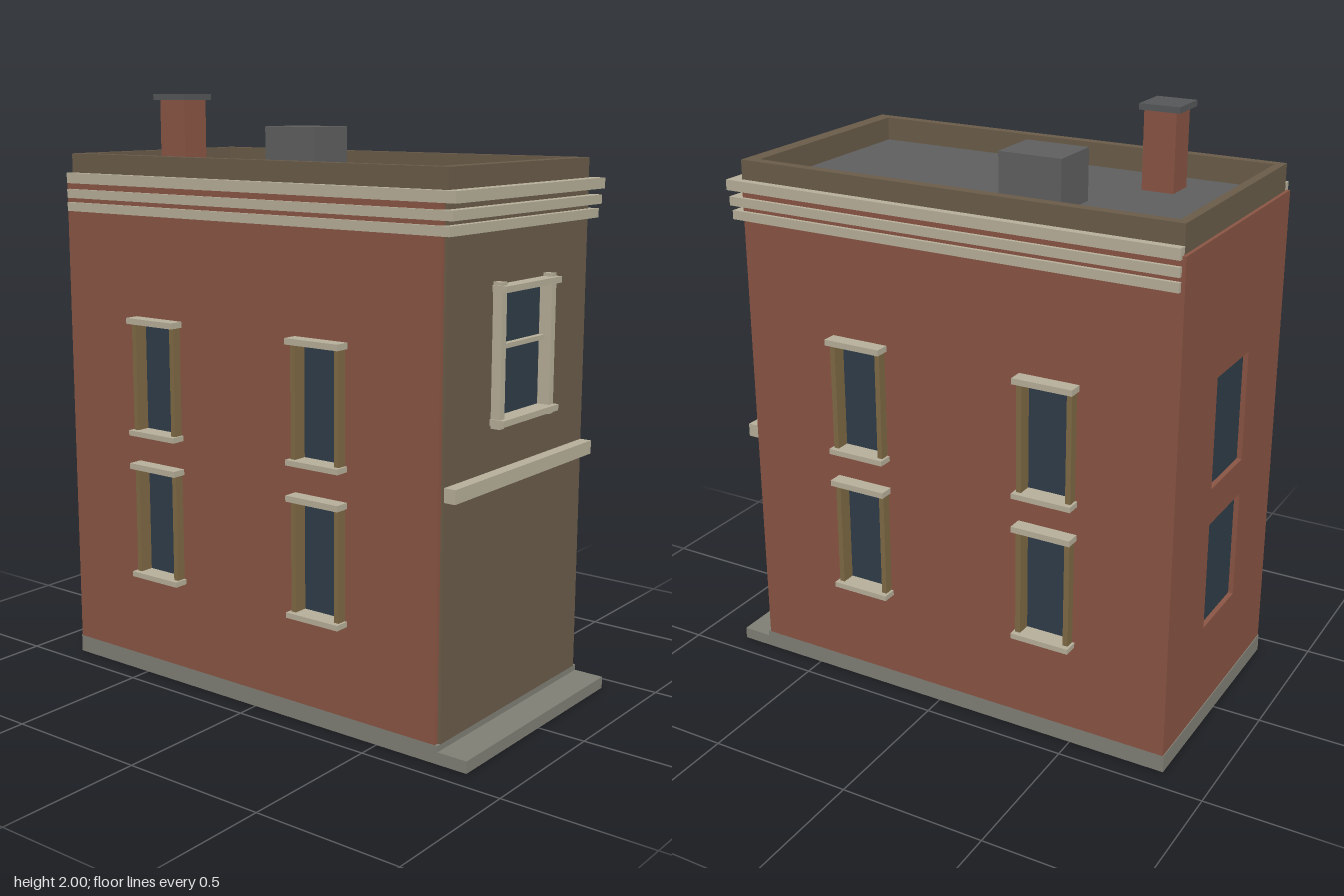
import * as THREE from 'three';

const mat = (name, color) => Object.assign(new THREE.MeshStandardMaterial({ color }), { name });

export function createModel() {
  const brick = mat('brick', 0x885443);
  const brown = mat('brown facade', 0x695b48);
  const stone = mat('pale stone', 0xb5ad98);
  const tan = mat('tan frame', 0x7d6843);
  const glass = mat('dark glass', 0x2e3c48);
  const roofGrey = mat('roof grey', 0x5e5e5e);
  const capGrey = mat('cap grey', 0x545657);
  const concrete = mat('concrete', 0x7f7e74);

  const model = new THREE.Group();
  model.name = 'townhouse';

  // Box given by its minimum and maximum on each axis
  function box(name, material, x0, x1, y0, y1, z0, z1, parent = model) {
    const mesh = new THREE.Mesh(new THREE.BoxGeometry(x1 - x0, y1 - y0, z1 - z0), material);
    mesh.position.set((x0 + x1) / 2, (y0 + y1) / 2, (z0 + z1) / 2);
    mesh.name = name;
    parent.add(mesh);
    return mesh;
  }

  // Slab with rectangular openings; every rectangle is [u0, u1, v0, v1]
  function rect(Kind, [u0, u1, v0, v1]) {
    const path = new Kind();
    path.moveTo(u0, v0);
    path.lineTo(u1, v0);
    path.lineTo(u1, v1);
    path.lineTo(u0, v1);
    path.closePath();
    return path;
  }
  function slab(name, material, outline, holes, depth) {
    const shape = rect(THREE.Shape, outline);
    shape.holes = holes.map((h) => rect(THREE.Path, h));
    const mesh = new THREE.Mesh(new THREE.ExtrudeGeometry(shape, { depth, bevelEnabled: false }), material);
    mesh.name = name;
    model.add(mesh);
    return mesh;
  }

  // Base and front step
  box('base', concrete, -0.425, 0.425, 0, 0.06, -0.835, 0.73);
  box('frontStep', concrete, -0.425, 0.425, 0, 0.04, 0.73, 0.835);

  // Inner core and flat roof
  box('core', brown, -0.405, 0.405, 0.06, 1.7, -0.81, 0.715);
  box('roof', roofGrey, -0.4, 0.4, 1.7, 1.72, -0.81, 0.72);

  // Parapet around the roof (drawn flat, then laid down)
  const parapet = slab('parapet', brown, [-0.41, 0.41, -0.73, 0.82], [[-0.375, 0.375, -0.68, 0.79]], 0.1);
  parapet.rotation.x = -Math.PI / 2;
  parapet.position.y = 1.7;

  // Front wall with its window
  slab('frontWall', brown, [-0.41, 0.41, 0.06, 1.7], [[-0.135, 0.135, 1.02, 1.43]], 0.015).position.z = 0.715;
  const frontWindow = new THREE.Group();
  frontWindow.name = 'frontWindow';
  model.add(frontWindow);
  box('glass', glass, -0.135, 0.135, 1.02, 1.43, 0.714, 0.719, frontWindow);
  for (const s of [-1, 1]) {
    box('jamb', stone, s * 0.147 - 0.013, s * 0.147 + 0.013, 1.0, 1.45, 0.72, 0.763, frontWindow);
  }
  box('lintel', stone, -0.165, 0.165, 1.42, 1.44, 0.72, 0.78, frontWindow);
  box('sill', stone, -0.165, 0.165, 1.01, 1.03, 0.72, 0.78, frontWindow);
  box('middleRail', stone, -0.134, 0.134, 1.24, 1.255, 0.716, 0.74, frontWindow);

  // Belt course and the three cornice bands round the front and sides
  box('beltCourse', stone, -0.41, 0.41, 0.82, 0.865, 0.725, 0.77);
  const bands = [[1.605, 1.635, 0.755], [1.65, 1.68, 0.765], [1.7, 1.735, 0.775]];
  for (const [y0, y1, front] of bands) {
    box('corniceFront', stone, -0.438, 0.438, y0, y1, 0.725, front);
    for (const s of [-1, 1]) {
      box('corniceSide', stone, s * 0.423 - 0.015, s * 0.423 + 0.015, y0, y1, -0.82, 0.725);
    }
  }

  // Brick side walls: two columns of windows on two floors
  const floors = [[0.375, 0.75], [0.875, 1.25]];
  const columns = [0.28, -0.408];
  const sideHoles = floors.flatMap(([y0, y1]) => columns.map((z) => [-z - 0.082, -z + 0.082, y0, y1]));
  for (const s of [-1, 1]) {
    const wall = slab('sideWall', brick, [-0.72, 0.815, 0.06, 1.71], sideHoles, 0.02);
    wall.rotation.y = Math.PI / 2;
    wall.position.x = s > 0 ? 0.405 : -0.425;

    for (const [y0, y1] of floors) {
      for (const z of columns) {
        const win = new THREE.Group();
        win.name = 'sideWindow';
        model.add(win);
        const part = (name, material, xa, xb, ya, yb, za, zb) =>
          box(name, material, Math.min(s * xa, s * xb), Math.max(s * xa, s * xb), ya, yb, z + za, z + zb, win);
        part('glass', glass, 0.403, 0.409, y0, y1, -0.082, 0.082);
        part('jamb', tan, 0.406, 0.457, y0, y1, 0.077, 0.095);
        part('jamb', tan, 0.406, 0.457, y0, y1, -0.095, -0.077);
        part('lintel', stone, 0.406, 0.475, y1 - 0.005, y1 + 0.015, -0.103, 0.103);
        part('sill', stone, 0.406, 0.475, y0 - 0.013, y0 + 0.005, -0.103, 0.103);
      }
    }
  }

  // Brick back wall with two plain recessed windows
  const backHoles = floors.map(([y0, y1]) => [-0.13, 0.13, y0, y1]);
  slab('backWall', brick, [-0.425, 0.425, 0.06, 1.71], backHoles, 0.02).position.z = -0.832;
  for (const [y0, y1] of floors) box('backGlass', glass, -0.13, 0.13, y0, y1, -0.815, -0.808);

  // Chimney and roof box
  box('chimney', brick, -0.26, -0.155, 1.71, 1.98, -0.54, -0.43);
  box('chimneyCap', capGrey, -0.275, -0.137, 1.98, 2.0, -0.558, -0.42);
  box('roofBox', roofGrey, 0.052, 0.235, 1.71, 1.89, -0.342, -0.125);

  return model;
}
